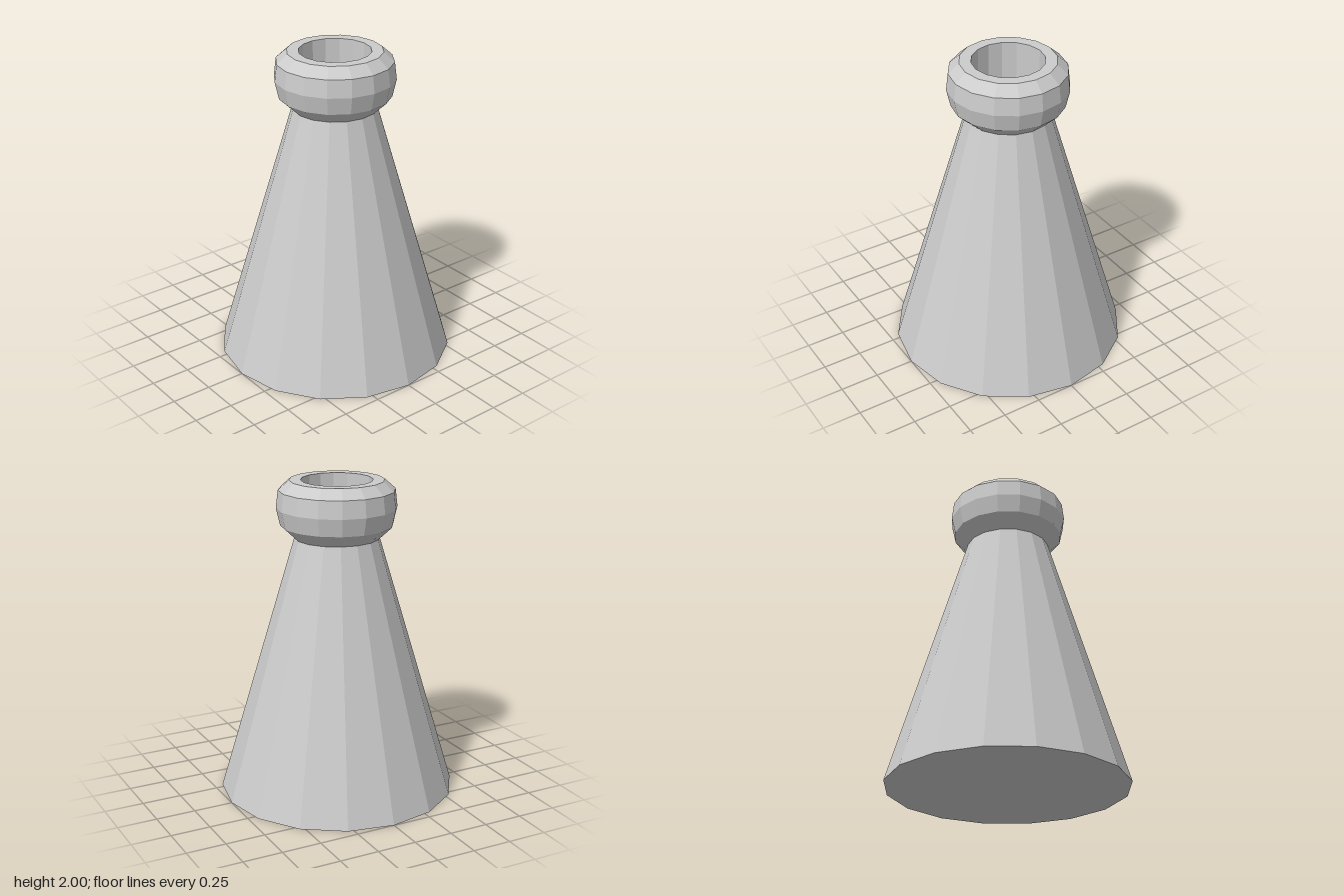
import * as THREE from 'three';

const SIDES = 16;

// Faceted solid of revolution from [radius, height] pairs
function turned(name, profile, material) {
  const points = profile.map(([r, y]) => new THREE.Vector2(r, y));
  const mesh = new THREE.Mesh(new THREE.LatheGeometry(points, SIDES), material);
  mesh.name = name;
  return mesh;
}

export function createModel() {
  const group = new THREE.Group();
  group.name = 'conicalFlask';
  const material = new THREE.MeshStandardMaterial({ color: 0xcccccc, flatShading: true });

  // Closed tapering body, its top cap forming the floor of the mouth
  group.add(turned('body', [[0, 0], [0.75, 0], [0.265, 1.64], [0, 1.64]], material));

  // Bulging collar with a straight bore
  group.add(turned('collar', [
    [0.265, 1.64], [0.35, 1.72], [0.375, 1.83], [0.362, 1.94],
    [0.295, 2], [0.223, 2], [0.223, 1.64],
  ], material));

  return group;
}
